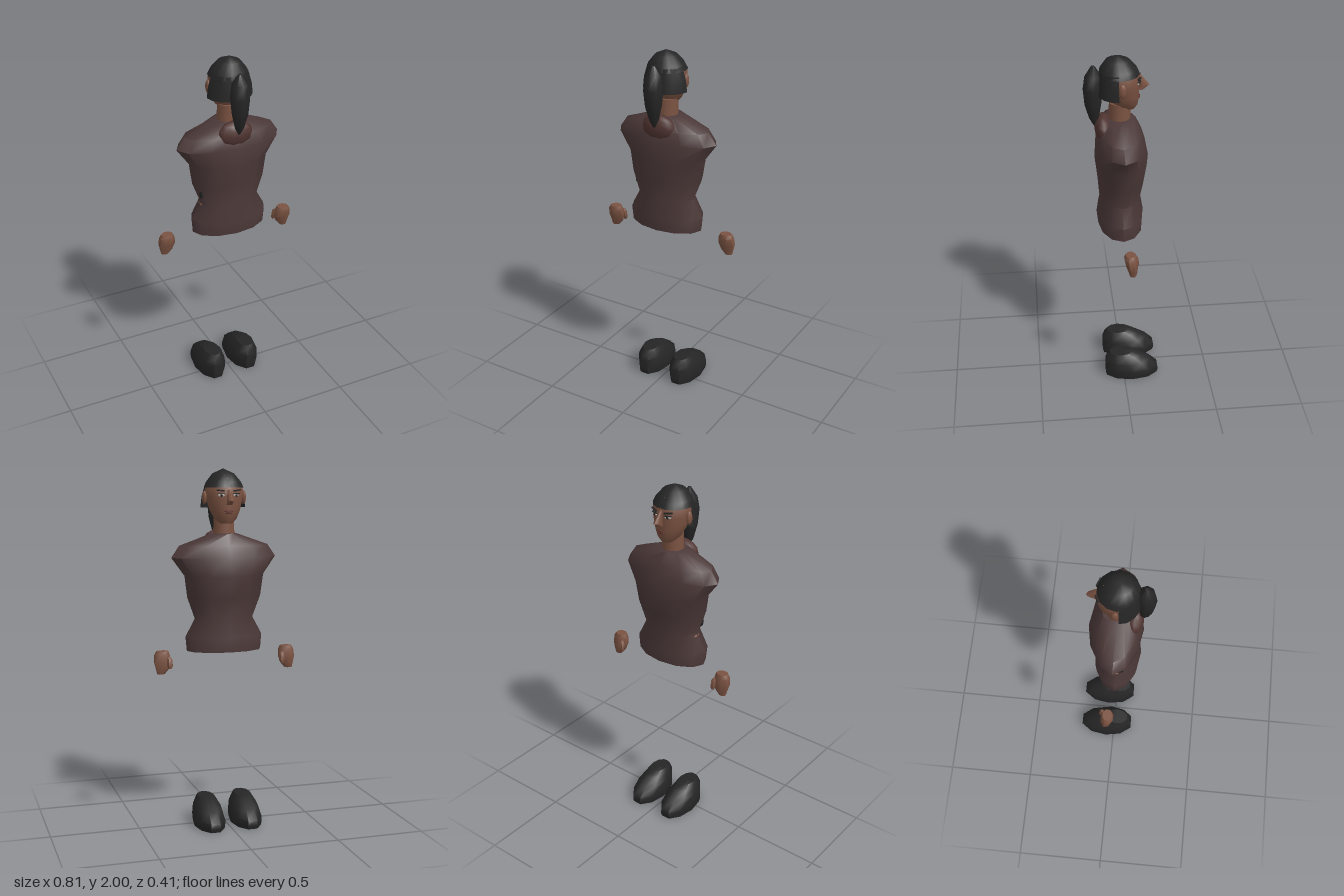
import * as THREE from 'three';
import { toCreasedNormals } from 'three/addons/utils/BufferGeometryUtils.js';

const mat = (name, color, side = THREE.FrontSide) => {
  const m = new THREE.MeshStandardMaterial({ color, side });
  m.name = name;
  return m;
};

// Capped skin over elliptical rings [y, rx, rz, cz, cx], bottom to top
function loft(rings, n = 12, phase = 0, arc = Math.PI * 2) {
  const pos = [], idx = [], w = n + 1;
  const put = (x, y, z) => pos.push(x, y, z) / 3 - 1;
  rings.forEach(([y, rx, rz, cz = 0, cx = 0]) => {
    for (let j = 0; j <= n; j++) {
      const t = phase + (arc * j) / n;
      put(cx + rx * Math.cos(t), y, cz + rz * Math.sin(t));
    }
  });
  for (let i = 0; i < rings.length - 1; i++)
    for (let j = 0; j < n; j++) {
      const a = i * w + j, b = a + 1, c = a + w, d = c + 1;
      idx.push(a, c, b, b, c, d);
    }
  const last = (rings.length - 1) * w;
  const centre = ([y, , , cz = 0, cx = 0]) => put(cx, y, cz);
  const lo = centre(rings[0]), hi = centre(rings[rings.length - 1]);
  for (let j = 0; j < n; j++) idx.push(lo, j, j + 1, hi, last + j + 1, last + j);
  const g = new THREE.BufferGeometry();
  g.setAttribute('position', new THREE.Float32BufferAttribute(pos, 3));
  g.setIndex(idx);
  return toCreasedNormals(g, 0.9);
}

export function createModel() {
  const root = new THREE.Group();
  root.name = 'figure';
  const skin = mat('skin', 0x7a5241);
  const shirt = mat('shirt', 0x4b3838);
  const collarCloth = mat('collar cloth', 0x4f3431);
  const black = mat('black', 0x252525, THREE.DoubleSide);
  const white = mat('eye white', 0xb8b0a8);
  const lip = mat('lip', 0x5c302a);

  const add = (name, geo, m, p = [0, 0, 0], r = [0, 0, 0]) => {
    const mesh = new THREE.Mesh(geo, m);
    mesh.name = name;
    mesh.position.set(...p);
    mesh.rotation.set(...r);
    root.add(mesh);
    return mesh;
  };
  const ball = (name, m, p, s, r, n = 10) =>
    add(name, new THREE.SphereGeometry(1, n, 8), m, p, r).scale.set(...s);

  // Torso, waisted and wide at the shoulders
  add('torso', loft([
    [1.0, 0.215, 0.122, 0.01], [1.08, 0.222, 0.129, 0.012], [1.18, 0.168, 0.112, 0.012],
    [1.3, 0.212, 0.128, 0.006], [1.42, 0.228, 0.145, 0.003], [1.52, 0.3, 0.133, 0.01],
    [1.585, 0.255, 0.115, 0.012], [1.65, 0.07, 0.08, 0.01],
  ]), shirt);
  ball('collar', collarCloth, [0, 1.595, 0.1], [0.1, 0.075, 0.048]);

  // Small patches at the waist
  ball('waistPatchDark', black, [-0.175, 1.245, 0.04], [0.008, 0.03, 0.018]);
  ball('waistPatchLight', skin, [-0.166, 1.165, 0.01], [0.008, 0.01, 0.022]);

  // Neck and head, with the face towards -z
  add('neck', loft([[1.6, 0.062, 0.06, 0.012], [1.74, 0.058, 0.056, 0.012]]), skin);
  add('head', loft([
    [1.705, 0.032, 0.035, -0.035], [1.73, 0.06, 0.065, -0.02], [1.78, 0.085, 0.085, -0.006],
    [1.85, 0.104, 0.098, 0.005], [1.9, 0.104, 0.1, 0.008], [1.95, 0.075, 0.08, 0.02],
  ], 16), skin);
  add('nose', loft([
    [1.808, 0.017, 0.014, -0.098], [1.83, 0.018, 0.032, -0.114], [1.89, 0.008, 0.01, -0.088],
  ], 8), skin);
  ball('upperLip', lip, [0, 1.772, -0.088], [0.026, 0.005, 0.008]);
  ball('lowerLip', lip, [0, 1.762, -0.086], [0.02, 0.005, 0.008]);

  // Hair: dome, longer back and ponytail
  add('hairDome', loft([
    [1.9, 0.11, 0.108, 0.014], [1.93, 0.097, 0.097, 0.018],
    [1.975, 0.06, 0.062, 0.023], [2.0, 0.004, 0.004, 0.025],
  ], 14), black);
  add('hairBack', loft([
    [1.79, 0.128, 0.107, 0.025], [1.85, 0.121, 0.104, 0.025], [1.92, 0.1, 0.092, 0.025],
  ], 8, 0, Math.PI), black);
  add('ponytail', loft([
    [1.61, 0.006, 0.006, 0.145], [1.65, 0.026, 0.026, 0.147], [1.73, 0.046, 0.044, 0.152],
    [1.82, 0.056, 0.052, 0.152], [1.89, 0.044, 0.044, 0.15], [1.945, 0.008, 0.01, 0.15],
  ], 8), black);

  for (const [side, s] of [['left', 1], ['right', -1]]) {
    // Face details
    ball(side + 'Ear', skin, [s * 0.112, 1.845, 0.006], [0.013, 0.038, 0.02]);
    ball(side + 'Eye', white, [s * 0.042, 1.858, -0.084], [0.019, 0.008, 0.006], [0, -s * 0.4, 0]);
    ball(side + 'Pupil', black, [s * 0.042, 1.858, -0.088], [0.008, 0.008, 0.004], [0, -s * 0.4, 0]);
    add(side + 'EyeLine', new THREE.BoxGeometry(0.04, 0.004, 0.008), black,
      [s * 0.043, 1.867, -0.087], [0, -s * 0.4, 0]);
    add(side + 'Brow', new THREE.BoxGeometry(0.046, 0.007, 0.009), black,
      [s * 0.046, 1.884, -0.087], [0, -s * 0.4, s * 0.12]);

    // Floating hand and thumb
    add(side + 'Hand', loft([
      [0.885, 0.022, 0.018, -0.024, s * 0.372], [0.91, 0.036, 0.026, -0.024, s * 0.364],
      [0.95, 0.048, 0.034, -0.018, s * 0.362], [0.99, 0.044, 0.036, -0.012, s * 0.362],
      [1.01, 0.034, 0.028, -0.012, s * 0.36],
    ], 8, Math.PI / 8), skin);
    add(side + 'Thumb', loft([
      [0.915, 0.008, 0.008, -0.052, s * 0.326], [0.93, 0.016, 0.013, -0.05, s * 0.326],
      [0.965, 0.015, 0.013, -0.046, s * 0.327], [0.98, 0.008, 0.008, -0.042, s * 0.33],
    ], 6), skin);

    // Shoe, tapering up towards the heel
    const x = s * 0.108;
    add(side + 'Shoe', loft([
      [0, 0.083, 0.157, -0.048, x], [0.02, 0.087, 0.163, -0.048, x], [0.05, 0.088, 0.162, -0.047, x],
      [0.1, 0.079, 0.136, -0.022, x], [0.135, 0.06, 0.1, 0.0, x], [0.157, 0.047, 0.07, 0.015, x],
    ], 10, 0), black);
  }
  return root;
}
